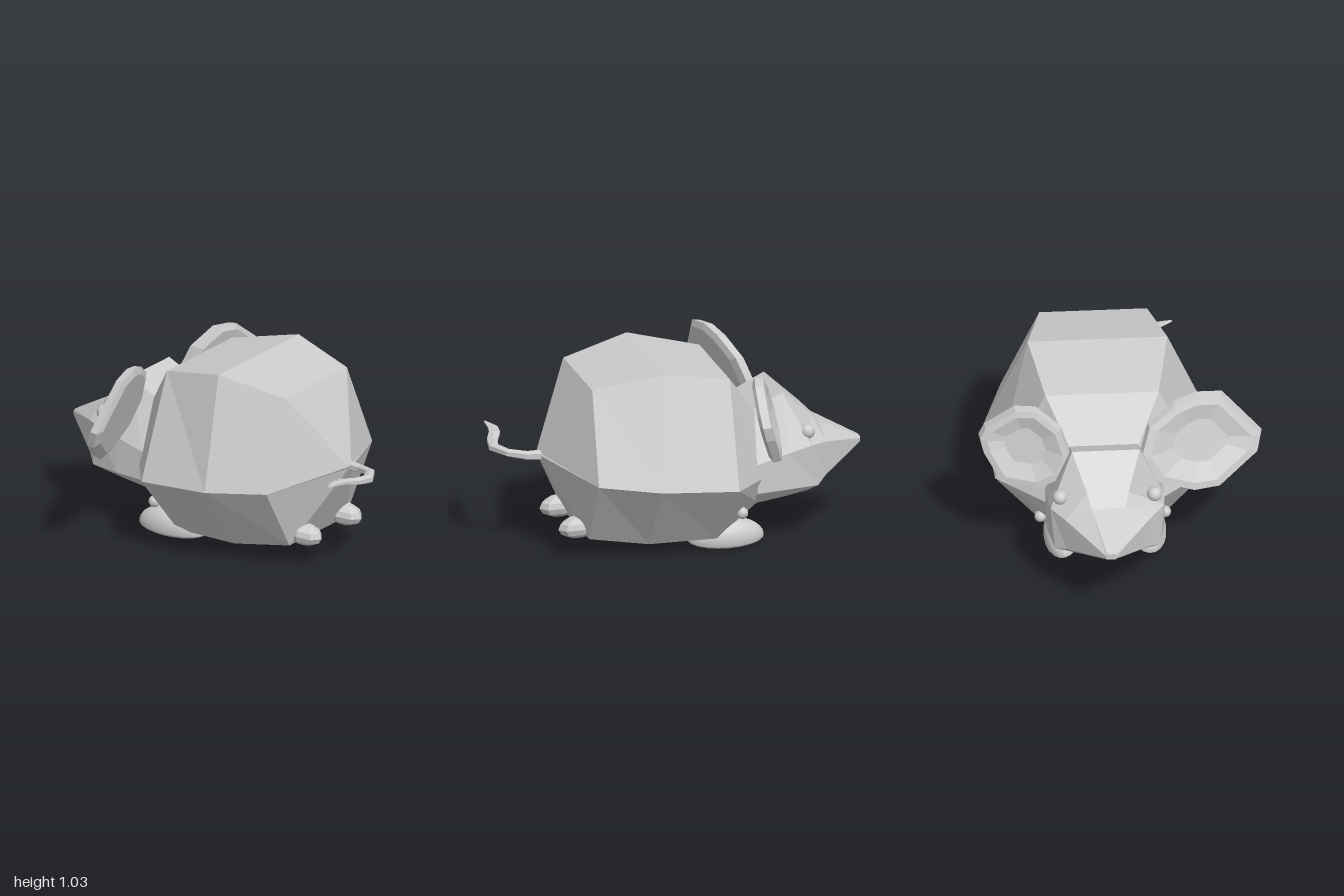
import * as THREE from 'three';

const ZC = -0.09; // the body's plane of symmetry
const flat = new THREE.MeshStandardMaterial({ color: 0xcccccc, flatShading: true });
const smooth = new THREE.MeshStandardMaterial({ color: 0xcccccc });
const V = (x, y, z) => new THREE.Vector3(x, y, z);

// Faceted skin over closed rings, capped at both ends
function loft(rings) {
  const pos = [];
  const tri = (...pts) => pts.forEach((p) => pos.push(p.x, p.y, p.z));
  const n = rings[0].length;
  for (let i = 0; i < rings.length - 1; i++) {
    for (let j = 0; j < n; j++) {
      const k = (j + 1) % n;
      const a = rings[i][j], b = rings[i][k], c = rings[i + 1][k], d = rings[i + 1][j];
      tri(a, b, c);
      tri(a, c, d);
    }
  }
  [rings[0], rings[rings.length - 1]].forEach((ring, end) => {
    const mid = ring.reduce((s, p) => s.add(p), V(0, 0, 0)).divideScalar(n);
    for (let j = 0; j < n; j++) {
      const a = ring[j], b = ring[(j + 1) % n];
      if (end) tri(mid, a, b);
      else tri(mid, b, a);
    }
  });
  const geo = new THREE.BufferGeometry();
  geo.setAttribute('position', new THREE.Float32BufferAttribute(pos, 3));
  geo.computeVertexNormals();
  return geo;
}

// Half section [x, y, halfWidth] from top to bottom, mirrored to a full ring
const ring = (half) => [
  ...half.map(([x, y, h]) => V(x, y, ZC + h)),
  ...half.map(([x, y, h]) => V(x, y, ZC - h)).reverse(),
];

export function createModel() {
  const model = new THREE.Group();
  const add = (name, geo, mat = flat) => {
    const mesh = new THREE.Mesh(geo, mat);
    mesh.name = name;
    model.add(mesh);
    return mesh;
  };

  // Body: hexagonal sections closing to a point at the rump
  add('body', loft([
    [[-0.38, 0.72, 0.18], [-0.39, 0.38, 0.30], [-0.39, 0.22, 0.20]],
    [[-0.21, 0.95, 0.30], [-0.19, 0.41, 0.565], [-0.14, 0.07, 0.30]],
    [[0.17, 1.03, 0.37], [0.24, 0.45, 0.60], [0.24, 0.08, 0.325]],
    [[0.54, 0.95, 0.285], [0.56, 0.475, 0.49], [0.55, 0.115, 0.26]],
    [[0.76, 0.54, 0.01], [0.765, 0.53, 0.015], [0.76, 0.52, 0.01]],
  ].map(ring)));

  // Head: eight-sided sections from the nose to the neck
  add('head', loft([
    [[-1, 0.475, 0.02], [-1, 0.465, 0.03], [-1, 0.45, 0.03], [-1, 0.44, 0.02]],
    [[-0.76, 0.60, 0.09], [-0.76, 0.53, 0.225], [-0.76, 0.345, 0.22], [-0.76, 0.31, 0.14]],
    [[-0.70, 0.66, 0.11], [-0.66, 0.54, 0.30], [-0.70, 0.31, 0.28], [-0.66, 0.26, 0.20]],
    [[-0.53, 0.81, 0.18], [-0.53, 0.51, 0.31], [-0.53, 0.31, 0.31], [-0.53, 0.24, 0.21]],
    [[-0.35, 0.72, 0.18], [-0.36, 0.46, 0.31], [-0.36, 0.30, 0.31], [-0.36, 0.21, 0.20]],
  ].map(ring)));

  // Ears: leaning plates with a bevelled rim, outline given as [z, y]
  const ear = (name, outline, zMid, yMid, lean, flare) => {
    const layer = (scale, dx) => outline.map(([z, y]) => {
      const dz = (z - zMid) * scale, dy = (y - yMid) * scale;
      return V(-0.38 + dx + lean * dy + flare * Math.abs(zMid + dz - ZC) - flare * Math.abs(zMid - ZC), yMid + dy, zMid + dz);
    });
    add(name, loft([layer(0.45, -0.005), layer(0.82, -0.035), layer(0.97, -0.03), layer(1, 0.015), layer(0.85, 0.035)]));
  };
  ear('rightEar', [[0.40, 1.0], [0.54, 0.98], [0.75, 0.74], [0.73, 0.65], [0.52, 0.50],
    [0.38, 0.50], [0.18, 0.58], [0.09, 0.72], [0.14, 0.88], [0.28, 0.97]], 0.42, 0.75, 0.32, 0.24);
  ear('leftEar', [[-0.45, 0.97], [-0.32, 0.88], [-0.27, 0.74], [-0.32, 0.61], [-0.44, 0.54],
    [-0.64, 0.55], [-0.73, 0.70], [-0.75, 0.78], [-0.72, 0.84], [-0.56, 0.96]], -0.51, 0.76, 0.25, 0.28);

  // Eyes and small elbow nubs
  for (const side of [1, -1]) {
    add('eye', new THREE.SphereGeometry(0.04, 16, 12), smooth).position.set(-0.65, 0.605, ZC + side * 0.25);
    add('elbow', new THREE.SphereGeometry(0.032, 12, 8), smooth).position.set(-0.27, 0.21, ZC + side * 0.33);
  }

  // Front feet: leaf-shaped pads, domed above and shallow below
  const pad = (name, y, z, tilt) => {
    const geo = new THREE.SphereGeometry(1, 20, 12);
    const p = geo.attributes.position;
    for (let i = 0; i < p.count; i++) {
      const up = p.getY(i);
      p.setXYZ(i, p.getX(i) * 0.21, up * (up > 0 ? 0.11 : 0.038), p.getZ(i) * 0.1);
    }
    geo.computeVertexNormals();
    const mesh = add(name, geo, smooth);
    mesh.position.set(-0.21, y, z);
    mesh.rotation.x = tilt;
  };
  pad('frontFootRight', 0.055, 0.15, 0.11);
  pad('frontFootLeft', 0.045, -0.30, -0.25);

  // Hind feet: stubby toes under the rump
  for (const z of [0.09, -0.28]) {
    const foot = add('hindFoot', new THREE.SphereGeometry(1, 8, 6));
    foot.scale.set(0.115, 0.06, 0.072);
    foot.position.set(0.585, 0.168, z);
    foot.rotation.z = -0.1;
  }

  // Tail: [x, y, z, halfWidth, halfHeight] along a curl that flattens to a tip
  const path = [
    [0.72, 0.525, -0.11, 0.03, 0.03], [0.82, 0.525, -0.10, 0.026, 0.025],
    [0.91, 0.535, -0.06, 0.026, 0.022], [0.965, 0.54, 0.04, 0.03, 0.025],
    [0.95, 0.55, 0.12, 0.032, 0.02], [0.915, 0.565, 0.20, 0.034, 0.014],
    [0.905, 0.57, 0.27, 0.03, 0.01], [0.927, 0.58, 0.35, 0.006, 0.005],
  ];
  const up = V(0, 1, 0);
  add('tail', loft(path.map(([x, y, z, w, h], i) => {
    const a = path[Math.max(i - 1, 0)], b = path[Math.min(i + 1, path.length - 1)];
    const side = V(b[0] - a[0], 0, b[2] - a[2]).cross(up).normalize();
    return Array.from({ length: 6 }, (_, k) => {
      const t = (k * Math.PI) / 3;
      return V(x, y + h * Math.cos(t), z).addScaledVector(side, w * Math.sin(t));
    });
  })));

  return model;
}
